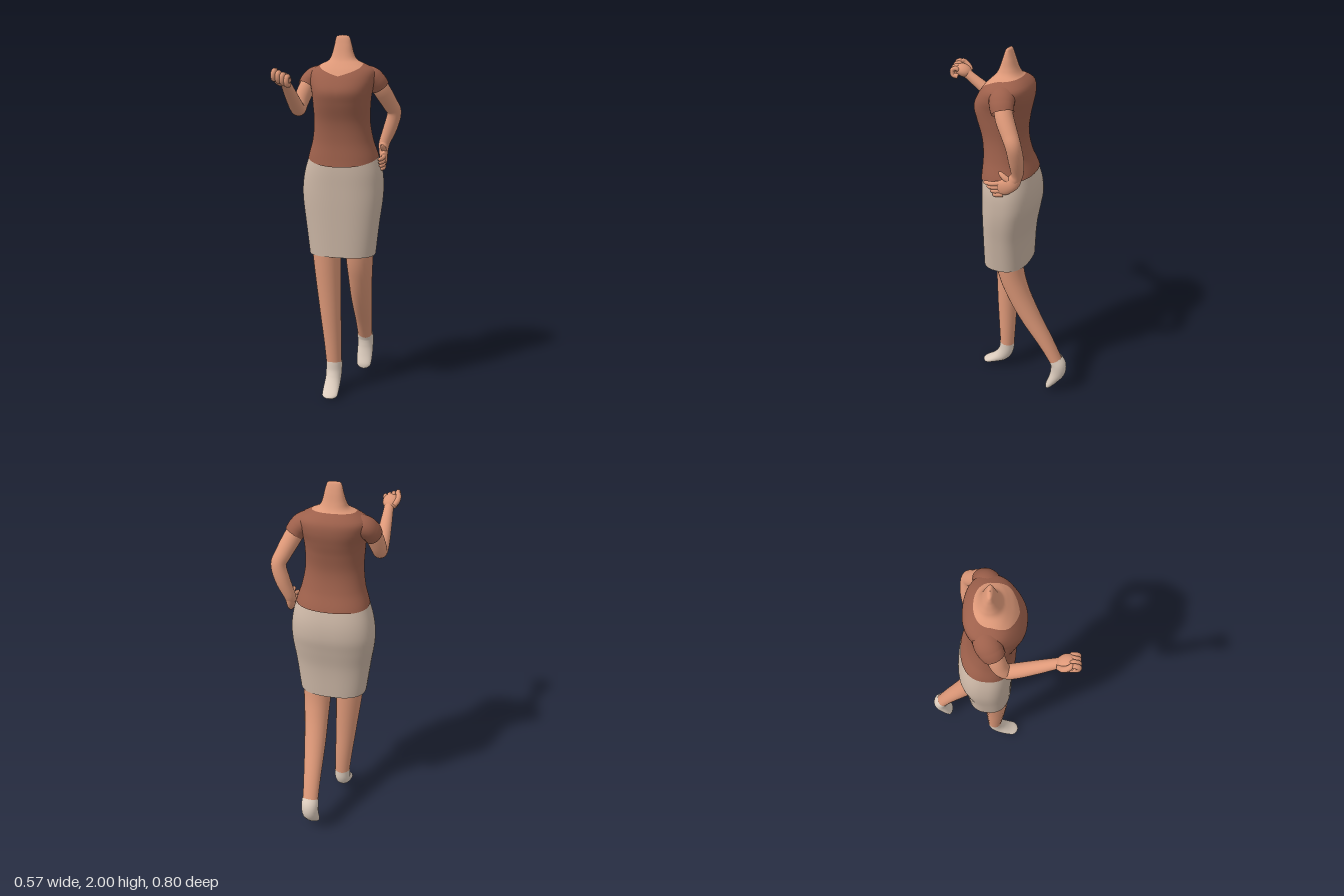
import * as THREE from 'three';

const mat = (name, color, side = THREE.FrontSide) => {
  const m = new THREE.MeshStandardMaterial({ color, side });
  m.name = name;
  return m;
};

// Surface closed in u, open in v; fn(u, v) returns a Vector3
function surface(fn, nu, nv) {
  const pos = [], idx = [];
  for (let j = 0; j <= nv; j++)
    for (let i = 0; i < nu; i++) pos.push(...fn(i / nu, j / nv).toArray());
  for (let j = 0; j < nv; j++)
    for (let i = 0; i < nu; i++) {
      const k = (i + 1) % nu, a = j * nu + i, b = j * nu + k;
      idx.push(a, b, a + nu, b, b + nu, a + nu);
    }
  const g = new THREE.BufferGeometry();
  g.setAttribute('position', new THREE.Float32BufferAttribute(pos, 3));
  g.setIndex(idx);
  g.computeVertexNormals();
  return g;
}

// Smooth interpolation of table rows [y, ...values]
function sample(rows, y) {
  let i = 0;
  while (i < rows.length - 2 && y > rows[i + 1][0]) i++;
  const a = rows[i], b = rows[i + 1], h = b[0] - a[0];
  const t = Math.min(1, Math.max(0, (y - a[0]) / h));
  const slope = (k, c) => {
    const p = rows[Math.max(0, k - 1)], q = rows[Math.min(rows.length - 1, k + 1)];
    return (q[c] - p[c]) / (q[0] - p[0]);
  };
  return [1, 2, 3, 4].map(c =>
    a[c] * (2 * t ** 3 - 3 * t * t + 1) + b[c] * (3 * t * t - 2 * t ** 3) +
    h * (slope(i, c) * (t ** 3 - 2 * t * t + t) + slope(i + 1, c) * (t ** 3 - t * t)));
}

// Rounded cross-sections [y, xMin, xMax, zFront, zBack]; u = 0 faces the front
function body(rows, yLow, yHigh, nv, n = 2.3) {
  return surface((u, v) => {
    const phi = u * Math.PI * 2;
    const y = THREE.MathUtils.lerp(yLow(phi), yHigh(phi), v);
    const [x0, x1, zf, zb] = sample(rows, y);
    const pw = s => Math.sign(s) * Math.abs(s) ** (2 / n);
    return new THREE.Vector3(
      (x0 + x1) / 2 + pw(Math.sin(phi)) * (x1 - x0) / 2, y,
      (zf + zb) / 2 + pw(Math.cos(phi)) * (zf - zb) / 2);
  }, 64, nv);
}

// Limb through points [x, y, z, r1, r2]; r1 lies along ref, end can be rounded off
function limb(pts, { round = 0, ref = [1, 0, 0], nu = 24, nv = 36 } = {}) {
  const path = new THREE.CatmullRomCurve3(pts.map(p => new THREE.Vector3(p[0], p[1], p[2])), false, 'catmullrom');
  const radii = new THREE.CatmullRomCurve3(pts.map(p => new THREE.Vector3(p[3], p[4] ?? p[3], 0)), false, 'catmullrom');
  const axis = new THREE.Vector3(...ref);
  return surface((u, v) => {
    const T = path.getTangent(v), r = radii.getPoint(v);
    const S = axis.clone().addScaledVector(T, -axis.dot(T)).normalize();
    const N = T.clone().cross(S);
    const e = round && v > 1 - round ? Math.sqrt(Math.max(0, 1 - ((v - 1 + round) / round) ** 2)) : 1;
    const a = u * Math.PI * 2;
    return path.getPoint(v)
      .addScaledVector(S, r.x * e * Math.cos(a))
      .addScaledVector(N, r.y * e * Math.sin(a));
  }, nu, nv);
}

export function createModel() {
  const skin = mat('skin', 0xdd9878);
  const shirtMat = mat('shirt brown', 0x9d604b, THREE.DoubleSide);
  const skirtMat = mat('skirt beige', 0xcab5a4, THREE.DoubleSide);
  const shoeMat = mat('shoe cream', 0xddcdbe, THREE.DoubleSide);

  const model = new THREE.Group();
  model.name = 'figure';
  const add = (name, geo, material, parent = model) => {
    const m = new THREE.Mesh(geo, material);
    m.name = name;
    parent.add(m);
    return m;
  };
  const group = name => {
    const g = new THREE.Group();
    g.name = name;
    model.add(g);
    return g;
  };

  // Torso and neck share one profile, split along the V neckline
  const torso = [
    [1.30, -0.212, 0.187, 0.118, -0.178],
    [1.36, -0.205, 0.18, 0.111, -0.168],
    [1.45, -0.178, 0.153, 0.105, -0.13],
    [1.55, -0.165, 0.137, 0.115, -0.11],
    [1.65, -0.167, 0.14, 0.146, -0.12],
    [1.71, -0.172, 0.147, 0.158, -0.133],
    [1.77, -0.185, 0.162, 0.132, -0.143],
    [1.82, -0.18, 0.158, 0.096, -0.137],
    [1.85, -0.136, 0.11, 0.066, -0.112],
    [1.87, -0.092, 0.066, 0.046, -0.083],
    [1.90, -0.074, 0.046, 0.03, -0.064],
    [1.95, -0.06, 0.033, 0.012, -0.046],
    [1.985, -0.052, 0.023, 0, -0.032],
    [1.997, -0.042, 0.012, -0.008, -0.024],
    [2.00, -0.015, -0.015, -0.015, -0.015],
  ];
  const neckline = p => Math.cos(p) > 0 ? 1.79 + 0.066 * Math.abs(Math.sin(p)) : 1.856 + 0.008 * -Math.cos(p);
  const hem = p => 1.36 - 0.042 * Math.max(0, Math.cos(p)) ** 1.5;
  add('shirt', body(torso, hem, neckline, 48), shirtMat);
  add('neck', body(torso, neckline, () => 2, 40), skin);

  // Skirt, open at the bottom
  const skirt = [
    [0.82, -0.2, 0.167, 0.102, -0.147],
    [1.00, -0.222, 0.187, 0.103, -0.153],
    [1.12, -0.238, 0.202, 0.104, -0.172],
    [1.20, -0.24, 0.205, 0.104, -0.184],
    [1.29, -0.225, 0.197, 0.104, -0.176],
    [1.40, -0.188, 0.163, 0.098, -0.142],
  ];
  add('skirt', body(skirt, () => 0.82, () => 1.4, 30, 2.5), skirtMat);

  // Sleeves
  const across = { ref: [0, 0, 1] };
  add('leftSleeve', limb([
    [0.05, 1.785, -0.03, 0.07, 0.06], [0.125, 1.785, -0.035, 0.066, 0.056],
    [0.16, 1.762, -0.045, 0.062, 0.052], [0.18, 1.73, -0.058, 0.057, 0.05],
  ], across), shirtMat);
  add('rightSleeve', limb([
    [-0.07, 1.785, -0.03, 0.07, 0.06], [-0.155, 1.785, -0.022, 0.066, 0.056],
    [-0.19, 1.762, -0.005, 0.062, 0.052], [-0.206, 1.73, 0.014, 0.056, 0.049],
  ], across), shirtMat);

  // Left arm bent with the hand on the hip
  const leftArm = group('leftArm');
  add('leftArmSkin', limb([
    [0.15, 1.775, -0.045, 0.044], [0.188, 1.71, -0.07, 0.046], [0.224, 1.64, -0.112, 0.042],
    [0.243, 1.59, -0.138, 0.039], [0.222, 1.51, -0.145, 0.038], [0.192, 1.43, -0.14, 0.031],
    [0.187, 1.39, -0.125, 0.028],
  ]), skin, leftArm);
  add('leftPalm', limb([
    [0.188, 1.42, -0.137, 0.026, 0.03], [0.19, 1.375, -0.115, 0.024, 0.037],
    [0.2, 1.35, -0.075, 0.02, 0.042], [0.203, 1.338, -0.035, 0.014, 0.038],
  ], { round: 0.2 }), skin, leftArm);
  for (let i = 0; i < 4; i++) {
    const y = 1.366 - 0.019 * i, z = -0.045 - 0.008 * i;
    add('leftFinger', limb([
      [0.203, y, z, 0.012], [0.205, y - 0.007, z + 0.04, 0.012], [0.19, y - 0.012, 0.046 - 0.02 * i, 0.01],
    ], { round: 0.25, nu: 10, nv: 16 }), skin, leftArm);
  }
  add('leftThumb', limb([
    [0.192, 1.375, -0.11, 0.017], [0.197, 1.4, -0.075, 0.015], [0.19, 1.425, -0.04, 0.01],
  ], { round: 0.25, nu: 12, nv: 16 }), skin, leftArm);

  // Right arm raised forward with a closed hand
  const rightArm = group('rightArm');
  add('rightArmSkin', limb([
    [-0.185, 1.77, 0, 0.042], [-0.212, 1.71, 0.022, 0.044], [-0.23, 1.65, 0.045, 0.04],
    [-0.234, 1.617, 0.075, 0.037], [-0.235, 1.64, 0.125, 0.037], [-0.234, 1.7, 0.215, 0.032],
    [-0.233, 1.755, 0.295, 0.026], [-0.235, 1.775, 0.325, 0.028],
  ]), skin, rightArm);
  const palm = add('rightPalm', new THREE.SphereGeometry(1, 24, 16), skin, rightArm);
  palm.scale.set(0.044, 0.033, 0.05);
  palm.position.set(-0.238, 1.782, 0.338);
  palm.rotation.x = -0.4;
  for (let i = 0; i < 4; i++) {
    const x = -0.268 + 0.022 * i, d = -0.009 * i;
    add('rightFinger', limb([
      [x, 1.782 + d, 0.352, 0.013], [x, 1.788 + d, 0.384, 0.0135], [x, 1.815 + d, 0.387, 0.013],
      [x, 1.825 + d, 0.365, 0.012], [x, 1.812 + d, 0.348, 0.01],
    ], { round: 0.15, nu: 10, nv: 24 }), skin, rightArm);
  }
  add('rightThumb', limb([
    [-0.258, 1.775, 0.305, 0.016], [-0.275, 1.797, 0.322, 0.015],
    [-0.275, 1.82, 0.345, 0.013], [-0.258, 1.832, 0.36, 0.01],
  ], { round: 0.2, nu: 12, nv: 20 }), skin, rightArm);

  // Legs: right one straight, left one stepping back
  add('rightLeg', limb([
    [-0.11, 1.1, 0, 0.088, 0.085], [-0.1, 0.82, 0.012, 0.079, 0.077], [-0.082, 0.52, 0.016, 0.062, 0.06],
    [-0.068, 0.3, 0.012, 0.05, 0.049], [-0.06, 0.14, 0.01, 0.042, 0.04],
  ]), skin);
  add('leftLeg', limb([
    [0.08, 1.1, -0.03, 0.088, 0.085], [0.071, 0.82, -0.056, 0.079, 0.074], [0.067, 0.66, -0.1, 0.069, 0.065],
    [0.06, 0.5, -0.175, 0.06, 0.056], [0.054, 0.33, -0.276, 0.049, 0.042], [0.05, 0.2, -0.345, 0.043, 0.034],
  ]), skin);

  // Shoes, heels lifted
  add('rightShoe', limb([
    [-0.06, 0.182, 0.01, 0.046, 0.044], [-0.06, 0.125, 0.016, 0.046, 0.044], [-0.06, 0.08, 0.04, 0.045, 0.041],
    [-0.06, 0.045, 0.085, 0.046, 0.028], [-0.058, 0.022, 0.13, 0.044, 0.019], [-0.057, 0.015, 0.165, 0.034, 0.013],
  ], { round: 0.2 }), shoeMat);
  add('leftShoe', limb([
    [0.05, 0.23, -0.333, 0.047, 0.038], [0.05, 0.19, -0.352, 0.049, 0.044], [0.05, 0.14, -0.35, 0.048, 0.043],
    [0.05, 0.085, -0.327, 0.048, 0.031], [0.05, 0.04, -0.302, 0.044, 0.021], [0.05, 0.012, -0.286, 0.034, 0.013],
  ], { round: 0.2 }), shoeMat);

  return model;
}
